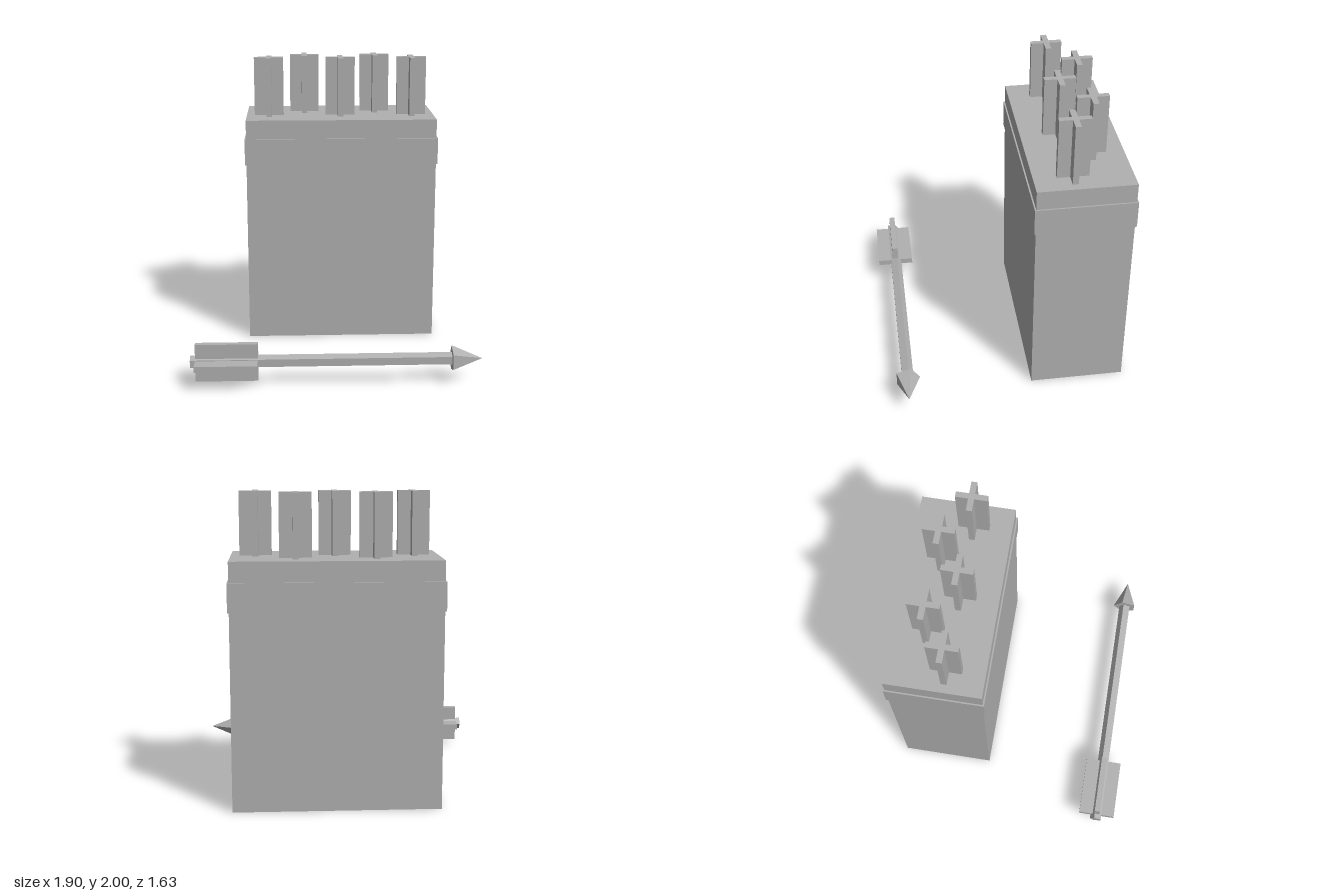
import * as THREE from 'three';

export function createModel() {
  const model = new THREE.Group();
  const grey = new THREE.MeshStandardMaterial({ color: 0xb0b0b0 });
  grey.name = 'grey';

  const add = (parent, name, geometry, x, y, z) => {
    const mesh = new THREE.Mesh(geometry, grey);
    mesh.name = name;
    mesh.position.set(x, y, z);
    parent.add(mesh);
    return mesh;
  };

  // Plus-shaped fletching, extruded along +z and centred on its length
  const makeFletching = (span, thickness, length) => {
    const a = span / 2, b = thickness / 2;
    const shape = new THREE.Shape([
      [b, -a], [b, -b], [a, -b], [a, b], [b, b], [b, a],
      [-b, a], [-b, b], [-a, b], [-a, -b], [-b, -b], [-b, -a],
    ].map(([x, y]) => new THREE.Vector2(x, y)));
    return new THREE.ExtrudeGeometry(shape, { depth: length, bevelEnabled: false })
      .translate(0, 0, -length / 2);
  };

  // Quiver box with a raised band
  const quiver = new THREE.Group();
  quiver.name = 'quiver';
  quiver.position.set(0.06, 0, -0.487);
  model.add(quiver);
  add(quiver, 'quiverBody', new THREE.BoxGeometry(1.33, 1.59, 0.635), 0, 0.795, 0);
  add(quiver, 'quiverBand', new THREE.BoxGeometry(1.35, 0.185, 0.655), 0, 1.3675, 0);

  // Stored arrow fletchings, staggered in two rows
  const upright = makeFletching(0.206, 0.038, 0.42).rotateX(-Math.PI / 2);
  for (let i = 0; i < 5; i++) {
    add(quiver, 'storedFletching', upright, (i - 2) * 0.253, 1.79, i % 2 ? -0.097 : 0.065);
  }

  // Loose arrow lying along x, five-sided with one edge towards the quiver
  const arrow = new THREE.Group();
  arrow.name = 'looseArrow';
  arrow.position.set(0, 0.162, 0.685);
  model.add(arrow);
  const fiveSided = (rTop, rBottom, length) =>
    new THREE.CylinderGeometry(rTop, rBottom, length, 5, 1, false, Math.PI)
      .rotateZ(-Math.PI / 2).toNonIndexed();
  const shaft = fiveSided(0.043, 0.043, 1.705);
  const head = fiveSided(0, 0.087, 0.2);
  shaft.computeVertexNormals();
  head.computeVertexNormals();
  add(arrow, 'arrowShaft', shaft, -0.1025, 0, 0);
  add(arrow, 'arrowHead', head, 0.845, 0, 0);
  add(arrow, 'arrowFletching', makeFletching(0.253, 0.04, 0.405).rotateY(Math.PI / 2), -0.72, 0, 0);

  return model;
}
